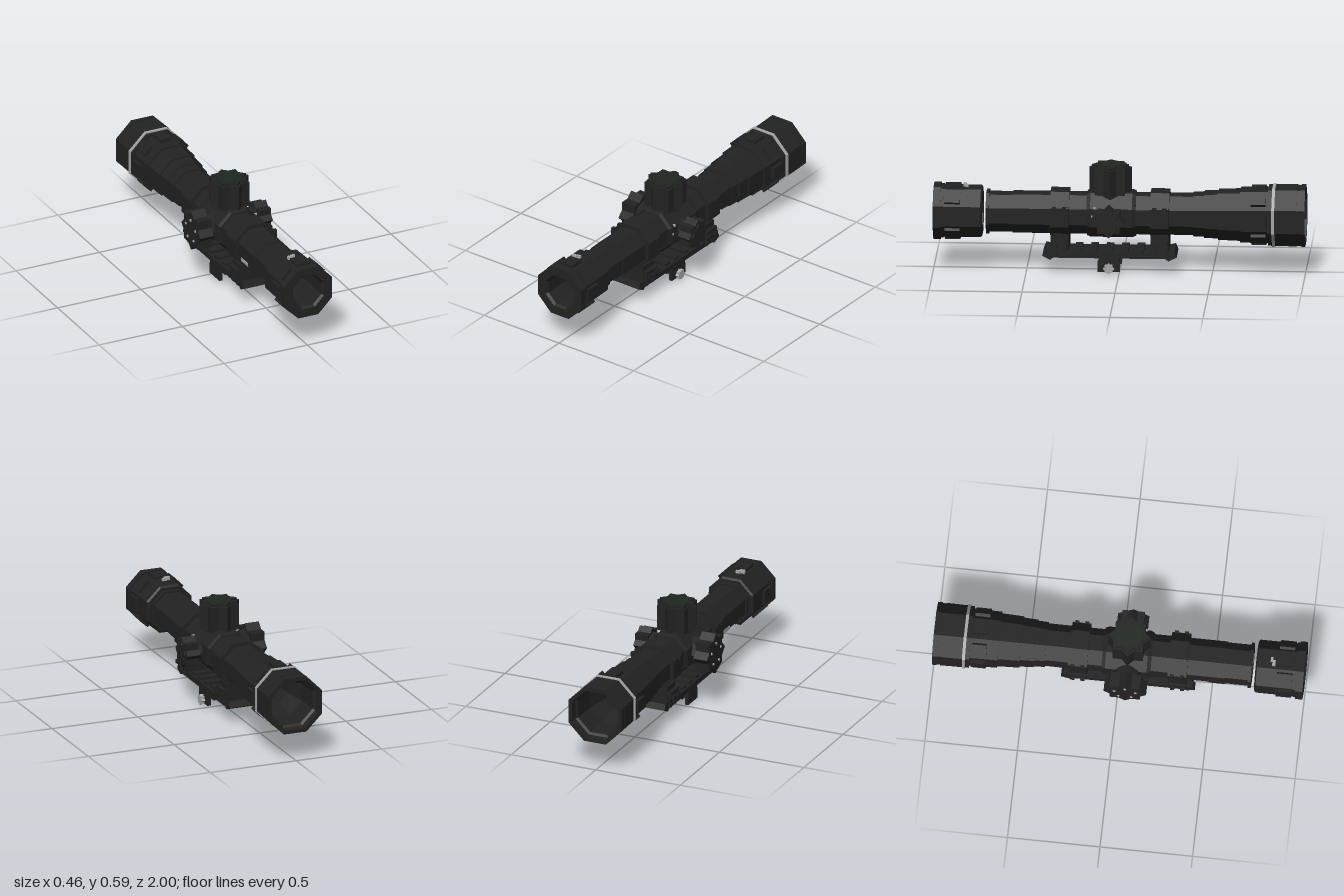
import * as THREE from 'three';

const CX = 0.005, CY = 0.315, TZ = 0.05; // optical axis and turret station

export function createModel() {
  const mat = (name, color) => {
    const m = new THREE.MeshStandardMaterial({ color, flatShading: true });
    m.name = name;
    return m;
  };
  const black = mat('matte black', 0x222222);
  const silver = mat('silver', 0xa6a6a6);
  const green = mat('dark green', 0x1e281f);

  const model = new THREE.Group();
  model.name = 'scope';

  const add = (name, geo, m = black, parent = model) => {
    const mesh = new THREE.Mesh(geo, m);
    mesh.name = name;
    parent.add(mesh);
    return mesh;
  };
  // Box given by its extents
  const box = (name, x0, x1, y0, y1, z0, z1, m = black, parent = model) => {
    const b = add(name, new THREE.BoxGeometry(x1 - x0, y1 - y0, z1 - z0), m, parent);
    b.position.set((x0 + x1) / 2, (y0 + y1) / 2, (z0 + z1) / 2);
    return b;
  };
  // Hollow octagonal body: outer [z, apothem] rising in z, then inner falling in z
  const octagon = (name, outer, inner, m = black) => {
    const pts = [...outer, ...inner, outer[0]].map(
      ([z, a]) => new THREE.Vector2(a / Math.cos(Math.PI / 8), z));
    const geo = new THREE.LatheGeometry(pts, 8, Math.PI / 8);
    geo.rotateX(Math.PI / 2);
    const mesh = add(name, geo, m);
    mesh.position.set(CX, CY, 0);
    return mesh;
  };
  // Grip pads on all eight flats of a body
  const pads = (name, apothem, width, z0, z1) => {
    const ring = new THREE.Group();
    ring.name = name;
    ring.position.set(CX, CY, 0);
    for (let i = 0; i < 8; i++) {
      const arm = new THREE.Group();
      arm.rotation.z = i * Math.PI / 4;
      box('gripPad', -width / 2, width / 2, apothem - 0.03, apothem, z0, z1, black, arm);
      ring.add(arm);
    }
    model.add(ring);
  };
  // Eight-pointed star prism rising along +y from 0
  const star = (radius, height) => {
    const shape = new THREE.Shape();
    for (let i = 0; i < 16; i++) {
      const r = i % 2 ? radius * 0.765 : radius, a = i * Math.PI / 8;
      shape[i ? 'lineTo' : 'moveTo'](r * Math.cos(a), r * Math.sin(a));
    }
    const geo = new THREE.ExtrudeGeometry(shape, { depth: height, bevelEnabled: false });
    return geo.rotateX(-Math.PI / 2);
  };

  // Eyepiece
  octagon('eyepiece',
    [[0.737, 0.122], [0.745, 0.132], [0.945, 0.132], [0.945, 0.136], [0.96, 0.136], [0.96, 0.144], [1, 0.144]],
    [[1, 0.095], [0.985, 0.085], [0.737, 0.085]]);
  pads('eyepieceGrip', 0.148, 0.075, 0.855, 0.938);
  box('magnificationMark', -0.035, -0.005, 0.44, 0.464, 0.825, 0.842, silver);
  box('magnificationPointer', -0.012, 0.012, 0.44, 0.462, 0.815, 0.829, silver);

  // Main tube with stepped flare toward the objective
  octagon('mainTube',
    [[-0.81, 0.142], [-0.65, 0.14], [-0.65, 0.132], [-0.53, 0.128], [-0.53, 0.122], [-0.455, 0.119],
      [-0.455, 0.114], [-0.395, 0.112], [-0.395, 0.106], [0.575, 0.106], [0.575, 0.102],
      [0.7, 0.102], [0.7, 0.113], [0.717, 0.113]],
    [[0.717, 0.085], [-0.7, 0.085], [-0.81, 0.118]]);
  box('tubeMark', CX - 0.109, CX - 0.1, 0.266, 0.286, 0.41, 0.49, silver);

  // Objective bell
  octagon('objective',
    [[-1, 0.157], [-0.975, 0.157], [-0.975, 0.153], [-0.955, 0.153], [-0.955, 0.156], [-0.8, 0.154], [-0.8, 0.142]],
    [[-0.8, 0.118], [-0.95, 0.122], [-0.96, 0.134], [-1, 0.136]]);
  octagon('objectiveBand', [[-0.838, 0.161], [-0.822, 0.161]], [[-0.822, 0.13], [-0.838, 0.13]], silver);
  pads('objectiveGrip', 0.16, 0.065, -0.79, -0.71);

  // Turret housing
  octagon('turretHousing',
    [[-0.09, 0.113], [-0.07, 0.121], [0.155, 0.121], [0.175, 0.113]], [[0.175, 0.09], [-0.09, 0.09]]);
  box('housingScrew', -0.005, 0.015, 0.185, 0.2, TZ - 0.01, TZ + 0.01, silver);
  for (const [y, z] of [[0.37, 0.13], [0.325, 0.145]])
    box('housingPin', CX + 0.09, CX + 0.125, y - 0.006, y + 0.006, z - 0.005, z + 0.005, silver);

  // Turrets: top, model's right (large) and model's left (small)
  const turret = (name, x, y, turn, radius, height) => {
    const g = new THREE.Group();
    g.name = name;
    g.position.set(x, y, TZ);
    g.rotation.z = turn;
    const neck = add('turretNeck', new THREE.CylinderGeometry(radius * 0.7, radius * 0.7, 0.07, 8), black, g);
    neck.position.y = -0.015;
    add('turretKnob', star(radius, height), black, g);
    model.add(g);
    return g;
  };
  const top = turret('elevationTurret', CX, 0.43, 0, 0.115, 0.142);
  add('turretCap', star(0.1, 0.013), black, top).position.y = 0.142;
  const disc = add('capInsert', new THREE.CylinderGeometry(0.072, 0.072, 0.004, 8, 1, false, Math.PI / 8), green, top);
  disc.position.y = 0.156;
  box('elevationMark', -0.004, 0.004, 0.05, 0.08, -0.084, -0.078, silver, top);
  const large = turret('windageTurret', -0.143, CY, Math.PI / 2, 0.115, 0.082);
  const small = turret('focusTurret', 0.15, CY, -Math.PI / 2, 0.085, 0.075);
  add('focusCap', star(0.06, 0.005), black, small).position.y = 0.075;
  for (let i = 0; i < 5; i++) {
    const a = i * Math.PI * 0.4;
    const dot = add('windageScrew', new THREE.CylinderGeometry(0.008, 0.008, 0.008, 6), silver, large);
    dot.position.set(0.06 * Math.cos(a), 0.083, 0.06 * Math.sin(a));
  }

  // Mount rings with legs, flanges and bolts
  for (const z of [0.32, -0.218]) {
    octagon('mountRing', [[z - 0.051, 0.126], [z + 0.051, 0.126]], [[z + 0.051, 0.09], [z - 0.051, 0.09]]);
    box('ringLeg', CX - 0.09, CX + 0.09, 0.1, 0.215, z - 0.048, z + 0.048);
    box('ringFoot', CX - 0.103, CX + 0.108, 0.128, 0.145, z - 0.045, z + 0.045);
    for (const s of [-1, 1]) {
      const side = (name, a, b, y0, y1, z0, z1) =>
        box(name, CX + Math.min(s * a, s * b), CX + Math.max(s * a, s * b), y0, y1, z0, z1);
      side('ringFlange', 0.08, 0.113, 0.16, 0.186, z - 0.045, z + 0.045);
      for (const d of [-0.027, 0.027]) {
        side('lowerBolt', 0.08, 0.124, 0.145, 0.165, z + d - 0.011, z + d + 0.011);
        side('upperBolt', 0.11, 0.134, 0.355, 0.375, z + d - 0.011, z + d + 0.011);
        side('railBolt', 0.08, 0.102, 0.092, 0.111, z + d - 0.01, z + d + 0.01);
      }
    }
  }

  // Base plate with upturned ends
  const plate = new THREE.Shape([
    [0.4, 0.127], [0.413, 0.094], [0.37, 0.073], [0.355, 0.085], [-0.25, 0.085], [-0.265, 0.073],
    [-0.31, 0.094], [-0.297, 0.127], [-0.25, 0.115], [0.345, 0.115],
  ].map(([z, y]) => new THREE.Vector2(z, y)));
  const plateGeo = new THREE.ExtrudeGeometry(plate, { depth: 0.184, bevelEnabled: false });
  plateGeo.translate(0, 0, -0.092).rotateY(-Math.PI / 2);
  add('basePlate', plateGeo).position.x = CX;
  for (let i = 0; i < 5; i++) {
    const z = 0.22 - i * 0.083;
    box('railTooth', CX - 0.08, CX + 0.08, 0.11, 0.129, z - 0.02, z + 0.02);
  }

  // Rail clamp and its thumb screw
  box('clampBridge', CX - 0.092, CX + 0.092, 0.05, 0.088, 0, 0.11);
  box('clampBar', -0.047, 0.055, 0.031, 0.052, 0.01, 0.1);
  for (const x of [-0.087, 0.077]) box('clampLeg', x, x + 0.02, 0.01, 0.07, -0.005, 0.115);
  const screw = add('thumbScrew', star(0.03, 0.02), silver);
  screw.rotation.z = -Math.PI / 2;
  screw.position.set(0.097, 0.03, 0.055);

  return model;
}
